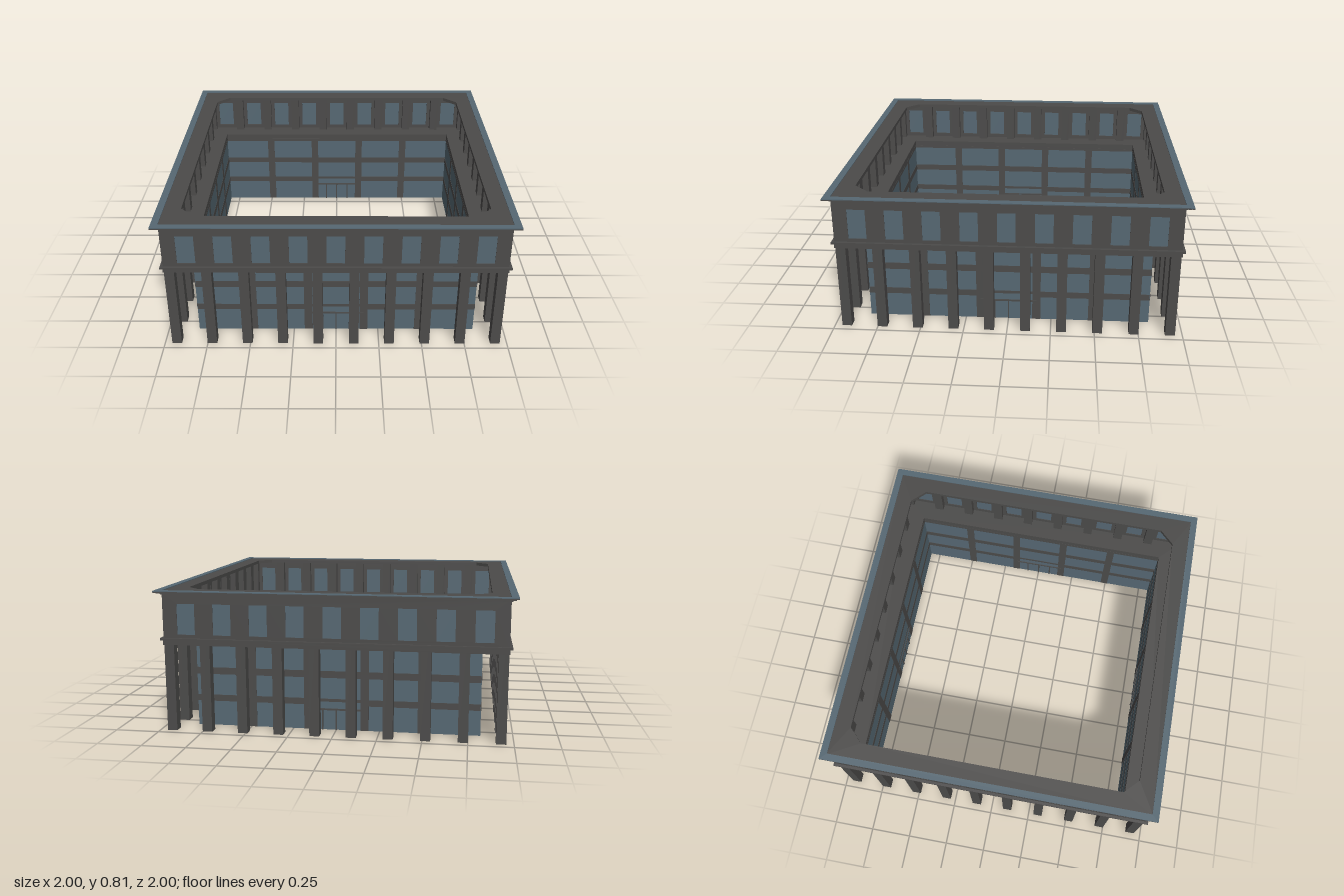
import * as THREE from 'three';

const concrete = new THREE.MeshStandardMaterial({ color: 0x4c4b4a });
concrete.name = 'dark concrete';
const glass = new THREE.MeshStandardMaterial({ color: 0x566873 });
glass.name = 'blue grey glass';

const STEP = 0.2067; // column spacing
const EDGE = 0.93; // column centre line
const WALL = 0.817; // ground floor wall line

function add(parent, name, geometry, material) {
  const mesh = new THREE.Mesh(geometry, material);
  mesh.name = name;
  parent.add(mesh);
  return mesh;
}

// Box given by its limits on each axis
function box(parent, name, material, [x0, x1], [y0, y1], [z0, z1]) {
  const mesh = add(parent, name, new THREE.BoxGeometry(x1 - x0, y1 - y0, z1 - z0), material);
  mesh.position.set((x0 + x1) / 2, (y0 + y1) / 2, (z0 + z1) / 2);
  return mesh;
}

// Square outline with optional cut corners
function outline(r, cut = 0) {
  const c = r - cut;
  const pts = cut
    ? [[r, -c], [r, c], [c, r], [-c, r], [-r, c], [-r, -c], [-c, -r], [c, -r]]
    : [[r, -r], [r, r], [-r, r], [-r, -r]];
  return pts.map(([x, y]) => new THREE.Vector2(x, y));
}

// Flat square ring between two heights
function ring(parent, name, material, outer, inner, y0, y1, cut = 0) {
  const shape = new THREE.Shape(outline(outer));
  shape.holes.push(new THREE.Path(outline(inner, cut)));
  const geometry = new THREE.ExtrudeGeometry(shape, { depth: y1 - y0, bevelEnabled: false });
  geometry.rotateX(-Math.PI / 2);
  add(parent, name, geometry, material).position.y = y0;
}

// Upper storey wall with nine window openings
function upperWall(side) {
  const rect = (x0, x1, y0, y1) =>
    [[x0, y0], [x1, y0], [x1, y1], [x0, y1]].map(([x, y]) => new THREE.Vector2(x, y));
  const shape = new THREE.Shape(rect(-0.96, 0.96, 0.52, 0.795));
  for (let i = -4; i <= 4; i++) {
    const x = i * STEP;
    shape.holes.push(new THREE.Path(rect(x - 0.051, x + 0.051, 0.56, 0.735)));
    box(side, 'upperWindow', glass, [x - 0.051, x + 0.051], [0.56, 0.735], [0.944, 0.957]);
  }
  const geometry = new THREE.ExtrudeGeometry(shape, { depth: 0.02, bevelEnabled: false });
  add(side, 'upperWall', geometry, concrete).position.z = 0.94;
}

// Glazed ground floor wall with its grid of bands and posts
function lowerWall(side) {
  const bay = (WALL * 2) / 5;
  const depth = [WALL - 0.004, WALL + 0.004];
  box(side, 'lowerGlazing', glass, [-WALL, WALL], [0, 0.5], [WALL - 0.002, WALL + 0.002]);
  box(side, 'upperBand', concrete, [-WALL, WALL], [0.305, 0.345], depth);
  box(side, 'headBand', concrete, [-WALL, WALL], [0.482, 0.5], depth);
  for (const s of [-1, 1]) {
    const xs = [s * bay * 0.5, s * WALL].sort((a, b) => a - b);
    box(side, 'lowerBand', concrete, xs, [0.145, 0.182], depth);
    for (const k of [0.5, 1.5]) {
      const x = s * bay * k;
      box(side, 'wallPost', concrete, [x - 0.024, x + 0.024], [0, 0.5], depth);
    }
  }
  box(side, 'bandOverDoor', concrete, [-bay / 2, bay / 2], [0.165, 0.182], depth);
}

// Entrance doors under a glazed transom
function entrance(side) {
  const depth = [WALL - 0.007, WALL + 0.007];
  box(side, 'transomBar', concrete, [-0.163, 0.163], [0.115, 0.125], depth);
  for (const x of [-0.08, 0, 0.08]) {
    box(side, 'doorPost', concrete, [x - 0.004, x + 0.004], [0, 0.12], depth);
  }
}

export function createModel() {
  const model = new THREE.Group();
  model.name = 'courtyardBuilding';

  // Four equal sides
  for (let q = 0; q < 4; q++) {
    const side = new THREE.Group();
    side.name = ['frontSide', 'leftSide', 'backSide', 'rightSide'][q];
    side.rotation.y = (q * Math.PI) / 2;
    model.add(side);
    upperWall(side);
    lowerWall(side);
    entrance(side);
    // Columns run through both storeys; each side owns one corner
    for (let i = 0; i < 9; i++) {
      const x = -EDGE + i * STEP;
      box(side, 'column', concrete, [x - 0.028, x + 0.028], [0, 0.792], [EDGE - 0.028, EDGE + 0.028]);
    }
  }

  // Floor slab and its ledge
  ring(model, 'floorSlab', concrete, 0.963, 0.814, 0.5, 0.535);
  ring(model, 'floorLedge', concrete, 0.976, 0.95, 0.528, 0.54);

  // Roof with cut inner corners, stepped cornice and rim
  ring(model, 'roof', concrete, 0.967, 0.863, 0.785, 0.806, 0.083);
  ring(model, 'cornice', concrete, 0.985, 0.95, 0.793, 0.802);
  ring(model, 'corniceTop', concrete, 1, 0.955, 0.8, 0.8055);
  ring(model, 'roofRim', glass, 1, 0.96, 0.8055, 0.81);

  return model;
}
